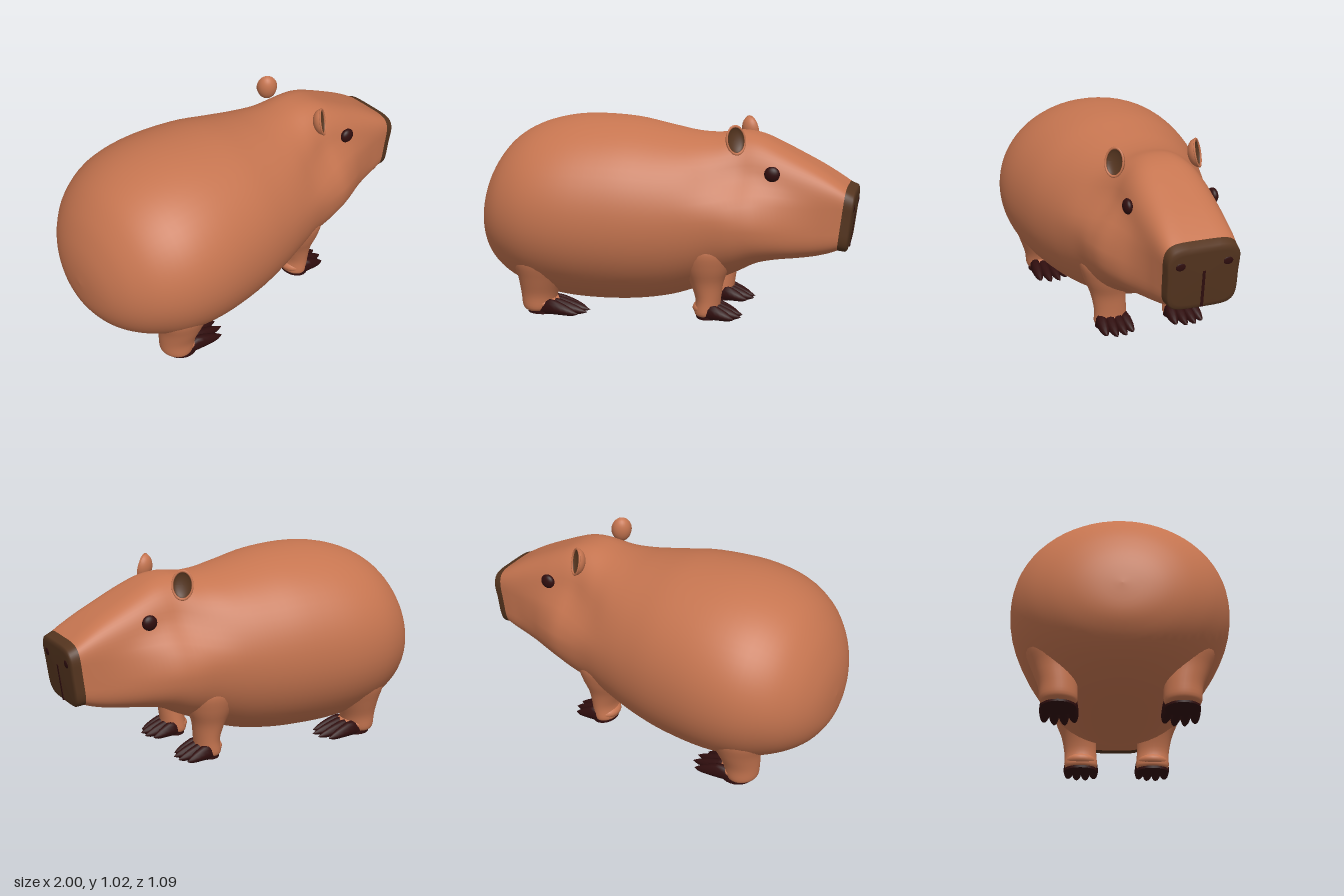
import * as THREE from 'three';

const fur = new THREE.MeshStandardMaterial({ color: 0xc67550 });
fur.name = 'fur';
const muzzleBrown = new THREE.MeshStandardMaterial({ color: 0x55351f });
muzzleBrown.name = 'muzzleBrown';
const darkClaw = new THREE.MeshStandardMaterial({ color: 0x300e0e });
darkClaw.name = 'darkClaw';

function add(parent, name, geometry, material) {
  const mesh = new THREE.Mesh(geometry, material);
  mesh.name = name;
  parent.add(mesh);
  return mesh;
}

// Smooth interpolation between the rows of a section table
function refine(rows, steps) {
  const out = [];
  const at = (i) => rows[Math.max(0, Math.min(rows.length - 1, i))];
  for (let i = 0; i < rows.length - 1; i++) {
    for (let s = 0; s < steps; s++) {
      const t = s / steps;
      out.push(rows[i].map((b, c) => {
        const a = at(i - 1)[c], d = at(i + 1)[c], e = at(i + 2)[c];
        return b + 0.5 * t * (d - a + t * (2 * a - 5 * b + 4 * d - e + t * (3 * (b - d) + e - a)));
      }));
    }
  }
  out.push(rows[rows.length - 1]);
  return out;
}

// Skin over closed rings; point(row, angle) gives [x, y, z]
function loft(rows, segments, point) {
  const positions = [], index = [];
  rows.forEach((row, i) => {
    for (let j = 0; j < segments; j++) {
      positions.push(...point(row, (j / segments) * Math.PI * 2));
      if (i < rows.length - 1) {
        const a = i * segments + j, b = i * segments + (j + 1) % segments;
        index.push(a, a + segments, b, b, a + segments, b + segments);
      }
    }
  });
  const g = new THREE.BufferGeometry();
  g.setAttribute('position', new THREE.Float32BufferAttribute(positions, 3));
  g.setIndex(index);
  g.computeVertexNormals();
  return g;
}

const power = (v, p) => Math.sign(v) * Math.pow(Math.abs(v), p);

// Section across x: [x, top, bottom, halfWidth, widestY, upperHalfWidth, squareness, tilt]
function crossSection([x, top, bottom, w, yw, u, n, tilt], a) {
  const sy = power(Math.sin(a), 2 / n);
  const y = yw + sy * (sy > 0 ? top - yw : yw - bottom);
  const width = THREE.MathUtils.lerp(w, u, THREE.MathUtils.smoothstep(sy, 0, 0.6));
  return [x + tilt * (y - 0.53), y, power(Math.cos(a), 2 / n) * width];
}

// Ring around y: [y, centreX, centreZ, radiusX, radiusZ]
const legRing = ([y, cx, cz, rx, rz], a) => [cx - rx * Math.sin(a), y, cz + rz * Math.cos(a)];

function addFoot(group, name, x, z, heelLength, toeStart, toeLength) {
  const sole = add(group, name + 'Sole', new THREE.CylinderGeometry(1, 1, 0.014, 24), darkClaw);
  sole.scale.set(heelLength, 1, 0.085);
  sole.position.set(x, 0.007, z);
  for (let i = 0; i < 4; i++) {
    const s = i - 1.5, len = toeLength * (Math.abs(s) < 1 ? 1 : 0.82);
    const rows = [
      [-0.05, 0.05, 0, 0.02, 0.02, 0.02, 2.4, 0],
      [0, 0.08, 0, 0.029, 0.035, 0.029, 2.4, 0],
      [len * 0.45, 0.06, 0, 0.027, 0.025, 0.027, 2.2, 0],
      [len * 0.8, 0.034, 0, 0.016, 0.015, 0.016, 2, 0],
      [len, 0.012, 0.012, 0, 0.012, 0, 2, 0],
    ];
    const toe = add(group, name + 'Toe', loft(refine(rows, 2), 12, crossSection), darkClaw);
    toe.position.set(toeStart, 0, z + s * 0.041);
    toe.rotation.y = -s * 0.06;
  }
}

export function createModel() {
  const model = new THREE.Group();
  model.name = 'rodent';

  // Torso, neck and head as one continuous skin
  const bodyRows = [
    [-1, 0.46, 0.46, 0, 0.46, 0, 2, 0],
    [-0.99, 0.57, 0.34, 0.13, 0.46, 0.13, 2, 0],
    [-0.96, 0.68, 0.26, 0.245, 0.47, 0.245, 2, 0],
    [-0.9, 0.80, 0.185, 0.355, 0.49, 0.355, 2, 0],
    [-0.8, 0.91, 0.12, 0.455, 0.51, 0.455, 2, 0],
    [-0.65, 0.985, 0.065, 0.525, 0.52, 0.525, 2.05, 0],
    [-0.45, 1.022, 0.035, 0.543, 0.52, 0.543, 2.05, 0],
    [-0.2, 1.015, 0.035, 0.51, 0.52, 0.51, 2.05, 0],
    [0, 0.978, 0.06, 0.46, 0.52, 0.455, 2.05, 0],
    [0.15, 0.95, 0.105, 0.415, 0.53, 0.395, 2.1, 0],
    [0.28, 0.945, 0.165, 0.38, 0.54, 0.32, 2.2, 0],
    [0.4, 0.96, 0.225, 0.362, 0.54, 0.255, 2.5, 0],
    [0.5, 0.945, 0.28, 0.343, 0.54, 0.24, 2.8, 0],
    [0.6, 0.902, 0.305, 0.3, 0.53, 0.235, 3.1, 0],
    [0.7, 0.85, 0.316, 0.25, 0.52, 0.225, 3.4, 0.01],
    [0.8, 0.793, 0.33, 0.215, 0.52, 0.212, 3.8, 0.04],
    [0.88, 0.74, 0.35, 0.198, 0.53, 0.2, 4.4, 0.08],
    [0.935, 0.70, 0.37, 0.187, 0.53, 0.19, 5, 0.12],
  ];
  add(model, 'body', loft(refine(bodyRows, 4), 64, crossSection), fur);

  // Blunt dark muzzle
  const muzzleRows = [
    [0.935, 0.70, 0.37, 0.187, 0.53, 0.19, 5, 0.12],
    [0.976, 0.682, 0.364, 0.18, 0.53, 0.186, 5, 0.125],
    [0.983, 0.67, 0.37, 0.174, 0.53, 0.18, 5, 0.125],
    [0.986, 0.652, 0.388, 0.158, 0.53, 0.162, 5, 0.125],
    [0.987, 0.53, 0.53, 0, 0.53, 0, 5, 0.125],
  ];
  add(model, 'muzzle', loft(muzzleRows, 64, crossSection), muzzleBrown);
  const groove = add(model, 'lipGroove', new THREE.BoxGeometry(0.008, 0.19, 0.014), darkClaw);
  groove.position.set(0.977, 0.465, 0);
  groove.rotation.z = -0.124;

  const frontLeg = [
    [0.01, 0.255, 0, 0.05, 0.075], [0.03, 0.255, 0, 0.065, 0.088], [0.1, 0.262, 0.003, 0.066, 0.086],
    [0.19, 0.255, 0.012, 0.088, 0.094], [0.28, 0.25, 0.025, 0.125, 0.115],
    [0.38, 0.24, 0.035, 0.15, 0.125], [0.48, 0.22, 0.02, 0.1, 0.1],
  ];
  const hindLeg = [
    [0.01, -0.635, 0, 0.06, 0.075], [0.03, -0.635, 0, 0.085, 0.09], [0.1, -0.63, 0.004, 0.098, 0.094],
    [0.19, -0.615, 0.02, 0.122, 0.11], [0.3, -0.6, 0.035, 0.16, 0.13], [0.42, -0.58, 0.03, 0.15, 0.12],
  ];

  for (const side of [1, -1]) {
    const label = side > 0 ? 'left' : 'right';

    // Legs and feet
    for (const [name, rows, z, foot] of [
      ['FrontLeg', frontLeg, 0.193, [0.265, 0.065, 0.29, 0.15]],
      ['HindLeg', hindLeg, 0.293, [-0.61, 0.085, -0.555, 0.195]],
    ]) {
      const leg = new THREE.Group();
      leg.name = label + name;
      const skin = add(leg, 'leg', loft(refine(rows, 4), 32, legRing), fur);
      skin.position.z = side * z;
      if (side < 0) skin.geometry = loft(refine(rows.map(([y, cx, cz, rx, rz]) => [y, cx, -cz, rx, rz]), 4), 32, legRing);
      // Instep joining the leg to the toes
      const instep = add(leg, 'instep', new THREE.SphereGeometry(1, 24, 16), fur);
      instep.scale.set(0.075, 0.042, 0.083);
      instep.position.set(foot[2] - 0.035, 0.05, side * z);
      addFoot(leg, 'foot', foot[0], side * z, foot[1], foot[2], foot[3]);
      model.add(leg);
    }

    // Eye and nostril
    const eye = add(model, label + 'Eye', new THREE.SphereGeometry(1, 24, 16), darkClaw);
    eye.scale.set(0.04, 0.039, 0.024);
    eye.position.set(0.59, 0.77, side * 0.224);
    const nostril = add(model, label + 'Nostril', new THREE.SphereGeometry(1, 16, 10), darkClaw);
    nostril.scale.set(0.004, 0.02, 0.025);
    nostril.position.set(0.994, 0.595, side * 0.12);
    nostril.rotation.z = -0.124;

    // Cupped ear, open forwards and outwards
    const ear = new THREE.Group();
    ear.name = label + 'Ear';
    const dome = () => new THREE.SphereGeometry(1, 28, 10, 0, Math.PI * 2, 0, Math.PI / 2).rotateX(Math.PI / 2);
    add(ear, 'earBack', dome().rotateY(Math.PI).scale(0.054, 0.074, 0.05), fur);
    const inner = dome().scale(0.05, 0.069, -0.022);
    inner.computeVertexNormals();
    add(ear, 'earInside', inner, muzzleBrown);
    const rim = add(ear, 'earRim', new THREE.TorusGeometry(0.051, 0.005, 8, 32), fur);
    rim.scale.y = 1.38;
    ear.position.set(0.405, 0.936, side * 0.222);
    ear.rotation.set(0, side > 0 ? 0.65 : Math.PI - 0.65, 0);
    ear.rotateX(-0.2);
    model.add(ear);
  }
  return model;
}
